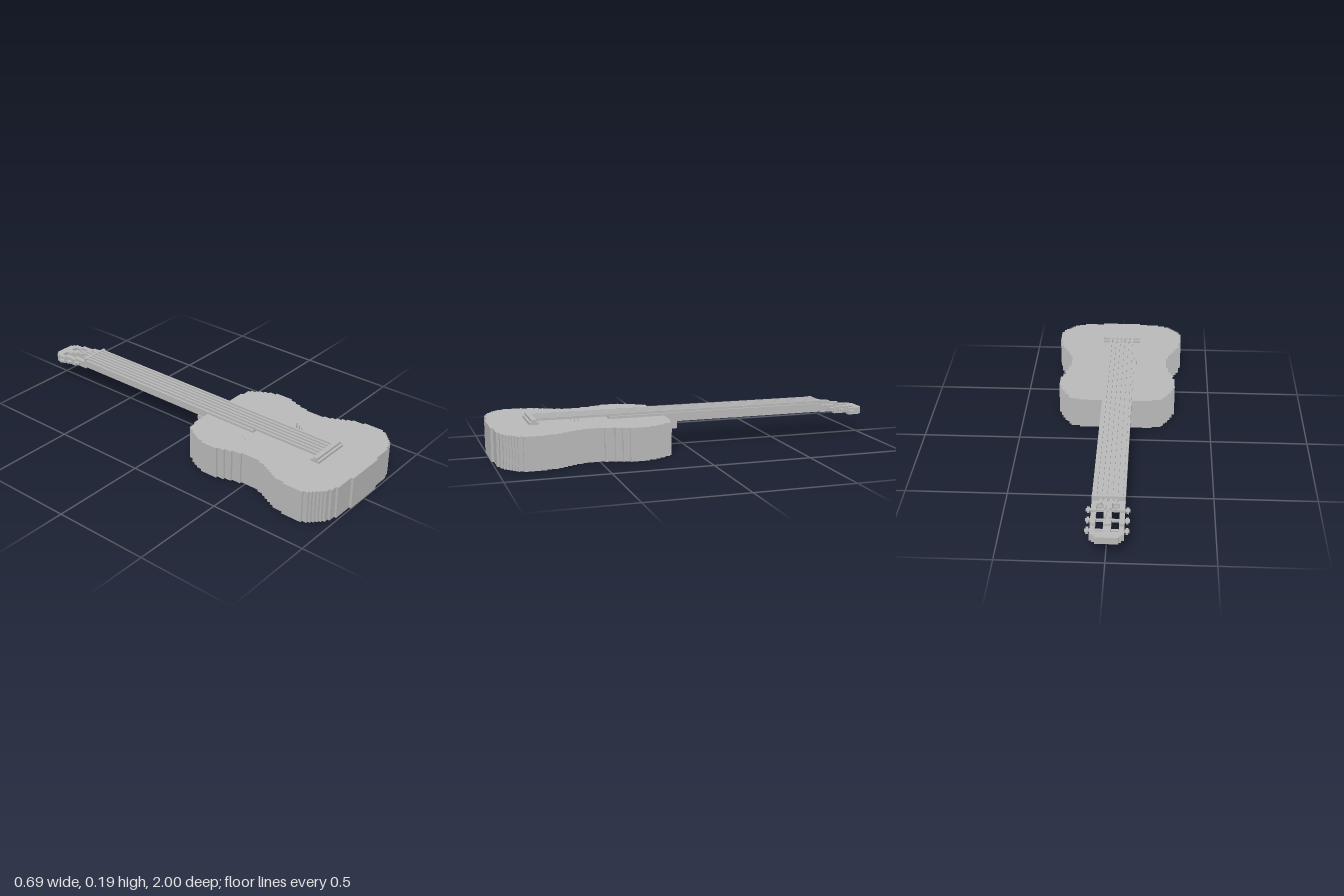
import * as THREE from 'three';

const U = 2 / 168; // one block
const grey = new THREE.MeshStandardMaterial({ color: 0xb8b8b8 });
grey.name = 'plain grey';

export function createModel() {
  const model = new THREE.Group();
  model.name = 'guitar';

  // box given by block ranges on each axis
  const box = (name, x0, x1, y0, y1, z0, z1) => {
    const g = new THREE.BoxGeometry((x1 - x0) * U, (y1 - y0) * U, (z1 - z0) * U);
    g.translate((x0 + x1) / 2 * U, (y0 + y1) / 2 * U, (z0 + z1) / 2 * U);
    const mesh = new THREE.Mesh(g, grey);
    mesh.name = name;
    model.add(mesh);
  };

  // stepped outline from [start row, half width] pairs, closed at row zEnd
  const outline = (steps, zEnd, cx) => {
    const right = [], left = [];
    steps.forEach(([z, w], i) => {
      const z1 = i + 1 < steps.length ? steps[i + 1][0] : zEnd;
      right.push(new THREE.Vector2((cx + w) * U, -z * U), new THREE.Vector2((cx + w) * U, -z1 * U));
      left.push(new THREE.Vector2((cx - w) * U, -z * U), new THREE.Vector2((cx - w) * U, -z1 * U));
    });
    return [...right, ...left.reverse()];
  };

  // flat slab cut from an outline, with an optional hole
  const slab = (name, points, y0, y1, hole) => {
    const shape = new THREE.Shape(points);
    if (hole) shape.holes.push(new THREE.Path(hole));
    const g = new THREE.ExtrudeGeometry(shape, { depth: (y1 - y0) * U, bevelEnabled: false });
    g.rotateX(-Math.PI / 2);
    g.translate(0, y0 * U, 0);
    const mesh = new THREE.Mesh(g, grey);
    mesh.name = name;
    model.add(mesh);
  };

  // body with waist and sound hole
  const body = outline([
    [10, 16], [11, 20], [12, 21], [14, 22], [15, 23], [17, 24], [19, 25], [22, 26],
    [30, 25], [33, 24], [36, 23], [40, 22], [49, 23], [52, 24], [54, 25], [56, 26],
    [58, 27], [60, 28], [65, 29], [74, 28], [76, 27], [77, 26], [78, 25], [79, 24],
    [80, 23], [81, 21], [82, 18], [83, 9]], 84, 0);
  const holeSteps = [];
  let last = 0;
  for (let z = 30; z < 50; z++) {
    const w = Math.round(Math.sqrt(156 - (z + 0.5 - 38.5) ** 2)) + 0.5;
    if (w !== last) holeSteps.push([z, w]);
    last = w;
  }
  slab('bodyLower', body, 0, 10);
  slab('bodyUpper', body, 10, 14, outline(holeSteps, 50, -0.5));

  // bridge and saddle
  box('bridge', -9, 8, 14, 15, 64, 68);
  box('saddle', -9, 8, 15, 16, 65, 67);

  // neck and fretboard
  box('fretboard', -7, 6, 14, 15, -63, 34);
  box('neck', -7, 6, 12, 14, -63, 10);
  box('neckUnderside', -6, 5, 11, 12, -63, 10);
  box('nut', -7, 6, 14, 16, -64, -63);

  // heel, narrowing downward
  [[8, 11, 6, 4], [6, 8, 5, 6], [4, 6, 4.5, 6], [2, 4, 3.5, 6], [0, 2, 2.5, 7]].forEach(
    ([y0, y1, w, z]) => box('heel', -0.5 - w, -0.5 + w, y0, y1, z, 10.5));

  // six strings
  for (let x = -6; x <= 4; x += 2) box('string', x, x + 1, 15, 16, -63, 65);

  // headstock in three descending steps, slotted on both sides
  [[-70, -63, 11], [-77, -70, 10], [-81, -77, 9]].forEach(([z0, z1, y]) => {
    box('headstockRail', -7, -5, y, y + 3, z0, z1);
    box('headstockSpine', -2, 1, y, y + 3, z0, z1);
    box('headstockRail', 4, 6, y, y + 3, z0, z1);
  });
  box('headstockBase', -7, 6, 11, 14, -66, -63);
  slab('headstockTip', outline([[-84, 4.5], [-83, 5.5], [-82, 6.5]], -80.5, -0.5), 9, 12);

  // tuners: roller through the slot, shaft and knob, mirrored about the spine
  [[-78, 10], [-73, 11], [-68, 12]].forEach(([z, y]) => {
    for (const s of [-1, 1]) {
      const span = (name, a, b, y0, y1, z0, z1) => {
        const e = [-0.5 + s * a, -0.5 + s * b].sort((p, q) => p - q);
        box(name, e[0], e[1], y0, y1, z0, z1);
      };
      span('tunerRoller', 1, 5, y, y + 1, z - 0.5, z + 0.5);
      span('tunerShaft', 6, 7.5, y, y + 1, z - 0.5, z + 0.5);
      span('tunerKnob', 7, 8, y, y + 1, z - 1.5, z + 1.5);
      span('tunerKnobTip', 8, 8.5, y, y + 1, z - 0.5, z + 0.5);
    }
  });

  // string ends stepping down to the rollers
  for (const x of [-4, 2]) {
    box('stringEnd', x, x + 1, 14, 15, -67, -64);
    box('stringEnd', x, x + 1, 12, 14, -68, -67);
  }
  for (const x of [-2, 0]) {
    box('stringEnd', x, x + 1, 14, 15, -70, -64);
    box('stringEnd', x, x + 1, 13, 14, -74, -70);
    box('stringEnd', x, x + 1, 12, 13, -77, -74);
  }
  return model;
}
